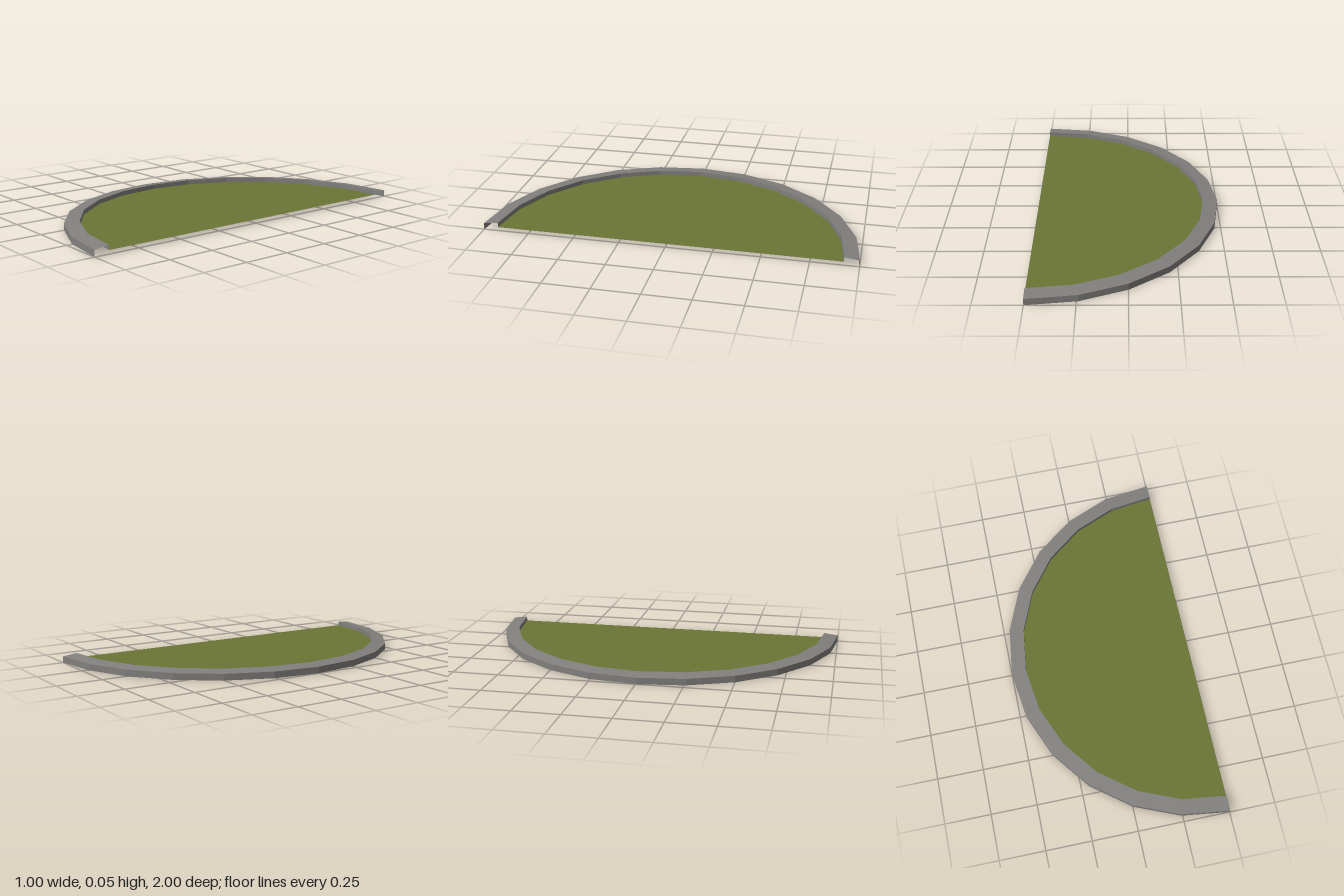
import * as THREE from 'three';

const OUTER = 1, INNER = 0.92, SEGMENTS = 12;
const FLOOR_Y = 0.02, EDGE_Y = 0.035, TOP_Y = 0.045;

export function createModel() {
  const stone = new THREE.MeshStandardMaterial({ color: 0x82807e, flatShading: true, side: THREE.DoubleSide });
  stone.name = 'kerb grey';
  const grass = new THREE.MeshStandardMaterial({ color: 0x6b7535, flatShading: true, side: THREE.DoubleSide });
  grass.name = 'grass green';

  const group = new THREE.Group();
  group.name = 'halfRoundLawn';

  // Kerb: open profile (outer wall, sloping top, inner wall) swept over a half circle
  const profile = [[OUTER, 0], [OUTER, EDGE_Y], [INNER, TOP_Y], [INNER, FLOOR_Y]]
    .map(([r, y]) => new THREE.Vector2(r, y));
  const kerbGeometry = new THREE.LatheGeometry(profile, SEGMENTS, Math.PI, Math.PI).toNonIndexed();
  kerbGeometry.computeVertexNormals();
  const kerb = new THREE.Mesh(kerbGeometry, stone);
  kerb.name = 'kerb';

  // Lawn: half disc set inside the kerb
  const lawnGeometry = new THREE.CircleGeometry(INNER, SEGMENTS, Math.PI / 2, Math.PI).rotateX(-Math.PI / 2);
  const lawn = new THREE.Mesh(lawnGeometry, grass);
  lawn.name = 'lawn';
  lawn.position.y = FLOOR_Y;

  // The straight side lies at x = 0.5 so the whole is centred
  for (const part of [kerb, lawn]) {
    part.position.x = 0.5;
    group.add(part);
  }
  return group;
}
